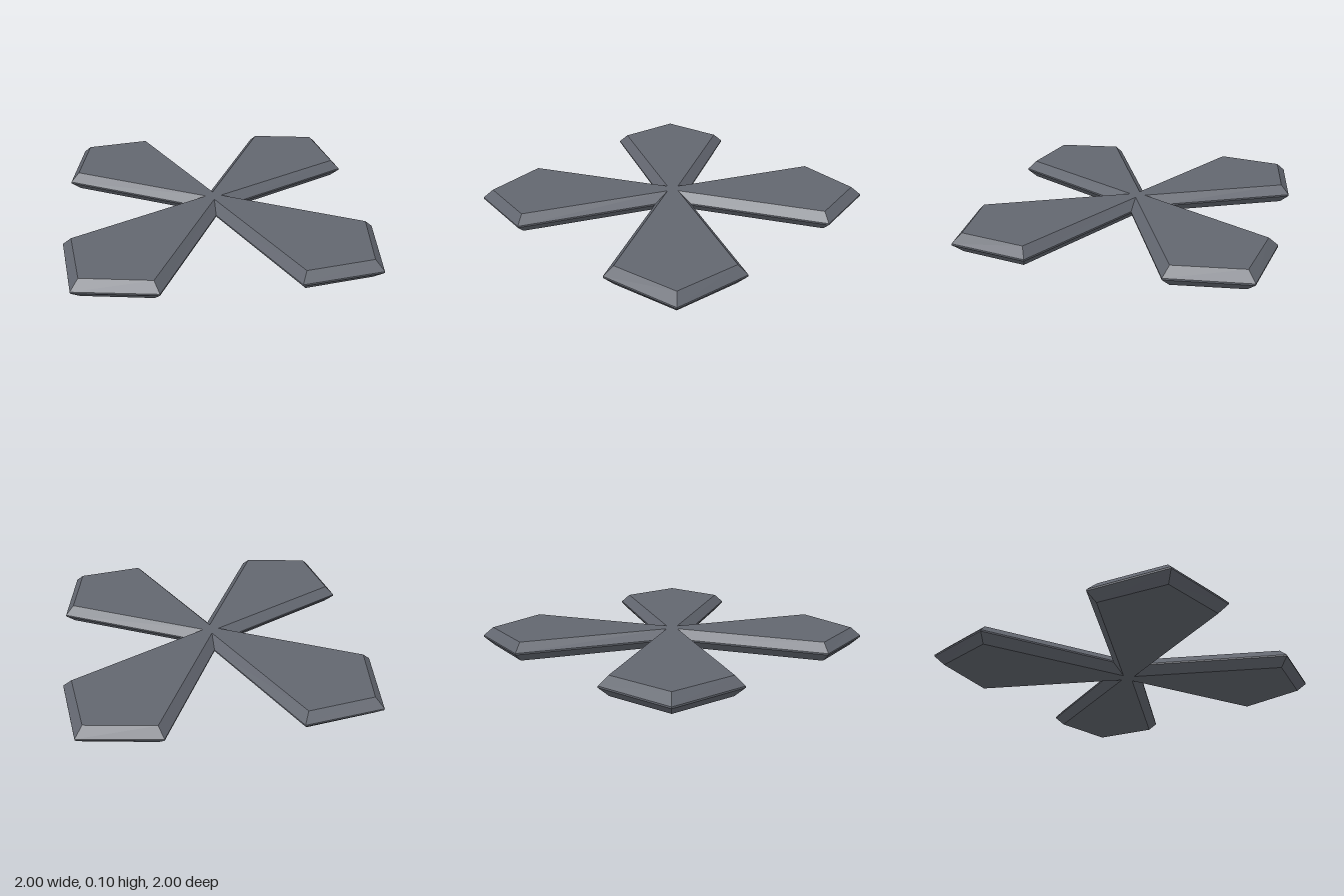
import * as THREE from 'three';

// Cross outline: each arm contributes inner notch, shoulder, tip, shoulder.
function outline(tip, shoulderOut, shoulderHalf, notch) {
  const arm = [[notch, -notch], [shoulderOut, -shoulderHalf], [tip, 0], [shoulderOut, shoulderHalf]];
  const points = [];
  for (let i = 0; i < 4; i++) {
    const c = Math.round(Math.cos(i * Math.PI / 2)), s = Math.round(Math.sin(i * Math.PI / 2));
    for (const [x, z] of arm) points.push([x * c - z * s, x * s + z * c]);
  }
  return points;
}

export function createModel() {
  const group = new THREE.Group();
  group.name = 'fourArmCross';
  const metal = new THREE.MeshStandardMaterial({ color: 0x62666f, flatShading: true });
  metal.name = 'slate grey';

  const face = outline(0.947, 0.75, 0.27, 0.028);
  const rim = outline(1, 0.765, 0.317, 0.092);

  // Rings from bottom to top: flat face, thin rim band, flat face
  const rings = [[face, 0], [rim, 0.044], [rim, 0.052], [face, 0.096]];
  const n = face.length, positions = [], index = [];
  for (const [ring, y] of rings) for (const [x, z] of ring) positions.push(x, y, z);
  positions.push(0, 0, 0, 0, 0.096, 0);
  const bottom = rings.length * n, top = bottom + 1;

  for (let i = 0; i < n; i++) {
    const j = (i + 1) % n;
    // Bevels and rim
    for (let r = 0; r < rings.length - 1; r++) {
      const a = r * n + i, b = r * n + j;
      index.push(a, a + n, b, b, a + n, b + n);
    }
    // Flat faces, fanned from the centre
    index.push(bottom, i, j);
    index.push(top, 3 * n + j, 3 * n + i);
  }

  const indexed = new THREE.BufferGeometry();
  indexed.setAttribute('position', new THREE.Float32BufferAttribute(positions, 3));
  indexed.setIndex(index);
  const geometry = indexed.toNonIndexed();
  geometry.computeVertexNormals();

  const cross = new THREE.Mesh(geometry, metal);
  cross.name = 'bevelledCross';
  group.add(cross);
  return group;
}
